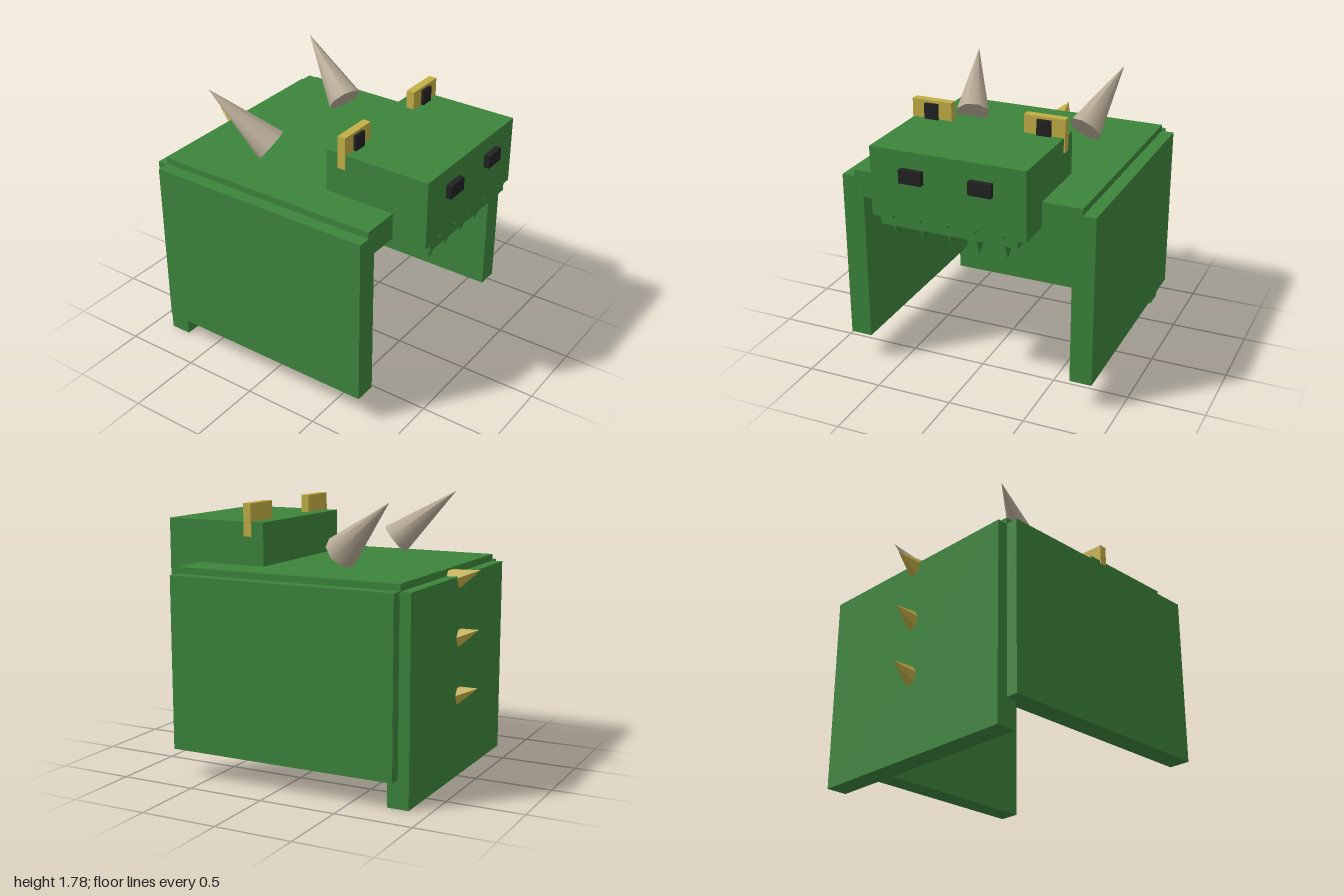
import * as THREE from 'three';

const mat = (name, color, flatShading = false) => {
  const m = new THREE.MeshStandardMaterial({ color });
  m.name = name;
  m.flatShading = flatShading;
  return m;
};

export function createModel() {
  const group = new THREE.Group();
  const green = mat('green', 0x3c843c, true);
  const yellow = mat('yellow', 0xc2ae46, true);
  const black = mat('black', 0x222222, true);
  const bone = mat('bone', 0xb8ab96);

  // Box given by its min and max corners
  const box = (name, material, [x0, y0, z0], [x1, y1, z1]) => {
    const mesh = new THREE.Mesh(new THREE.BoxGeometry(x1 - x0, y1 - y0, z1 - z0), material);
    mesh.position.set((x0 + x1) / 2, (y0 + y1) / 2, (z0 + z1) / 2);
    mesh.name = name;
    group.add(mesh);
  };

  // Cone given by its base centre and tip
  const cone = (name, material, base, tip, radius, sides) => {
    const a = new THREE.Vector3(...base);
    const b = new THREE.Vector3(...tip);
    const dir = b.clone().sub(a);
    const mesh = new THREE.Mesh(new THREE.ConeGeometry(radius, dir.length(), sides), material);
    mesh.position.copy(a).add(b).multiplyScalar(0.5);
    mesh.quaternion.setFromUnitVectors(new THREE.Vector3(0, 1, 0), dir.normalize());
    mesh.name = name;
    group.add(mesh);
  };

  // Shell: top slab and back panel
  box('topPanel', green, [-0.8, 1.17, -0.755], [0.733, 1.343, 0.755]);
  box('backPanel', green, [-0.87, 0, -0.76], [-0.73, 1.297, 0.76]);

  // Head and lower jaw
  box('head', green, [0.258, 1.18, -0.5], [0.963, 1.62, 0.5]);
  box('jaw', green, [0.36, 1.13, -0.445], [0.96, 1.19, 0.445]);

  // Mirrored parts
  for (const s of [-1, 1]) {
    const pair = (name, material, [x0, x1], [y0, y1], [z0, z1]) =>
      box(name, material, [x0, y0, s > 0 ? z0 : -z1], [x1, y1, s > 0 ? z1 : -z0]);
    pair('sidePanel', green, [-0.798, 0.735], [0.18, 1.3], [0.695, 0.838]);
    pair('eye', yellow, [0.343, 0.397], [1.527, 1.737], [0.242, 0.508]);
    pair('pupil', black, [0.39, 0.416], [1.61, 1.72], [0.33, 0.42]);
    pair('nostril', black, [0.955, 1], [1.43, 1.515], [0.15, 0.295]);
    cone('horn', bone, [-0.24, 1.45, s * 0.4], [-0.62, 1.78, s * 0.527], 0.115, 8);
  }

  // Teeth
  for (let i = -2; i <= 2; i++) {
    cone('tooth', green, [0.91, 1.2, i * 0.18], [0.91, 1.03, i * 0.18], 0.06, 8);
  }

  // Back spikes, pointing up and backwards
  for (const y of [1.34, 0.965, 0.59]) {
    cone('backSpike', yellow, [-0.756, y - 0.099, 0], [-1, y, 0], 0.106, 6);
  }

  return group;
}
